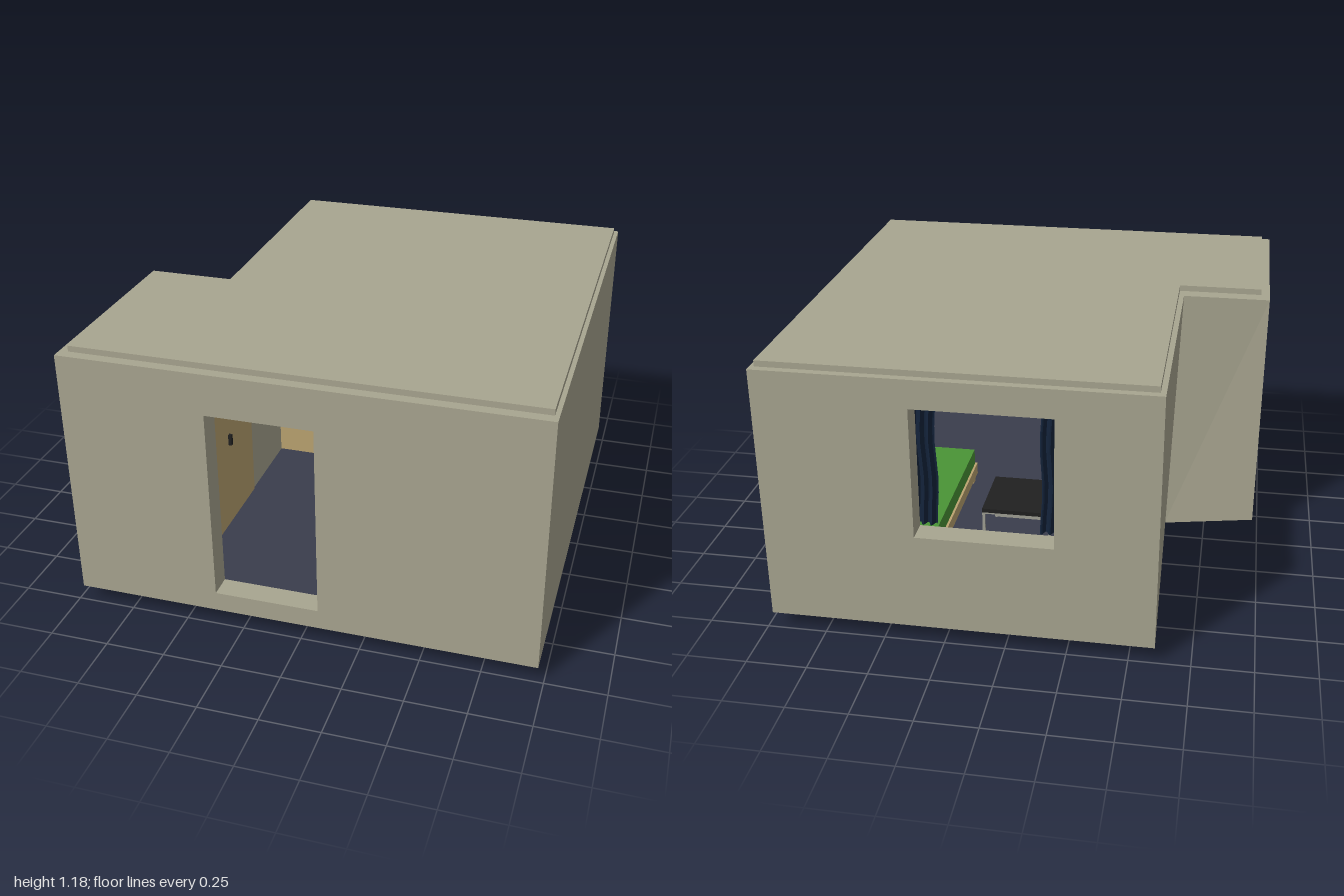
import * as THREE from 'three';

const mat = (color) => new THREE.MeshStandardMaterial({ color, flatShading: true, side: THREE.DoubleSide });
const WALL = mat(0xa8a590), FLOOR = mat(0x3a3d4c), WOOD = mat(0xbba370), NAVY = mat(0x14243c);
const GREEN = mat(0x4a9436), DARK = mat(0x505050), BLACK = mat(0x202020), METAL = mat(0xa0a096), RED = mat(0xa02020);

export function createModel() {
  const root = new THREE.Group();
  root.name = 'room';

  const add = (name, geometry, material, parent = root) => {
    const mesh = new THREE.Mesh(geometry, material);
    mesh.name = name;
    parent.add(mesh);
    return mesh;
  };
  // Box from its lower and upper limits
  const box = (name, x0, x1, y0, y1, z0, z1, material, parent) =>
    add(name, new THREE.BoxGeometry(x1 - x0, y1 - y0, z1 - z0)
      .translate((x0 + x1) / 2, (y0 + y1) / 2, (z0 + z1) / 2), material, parent);
  const group = (name) => {
    const g = new THREE.Group();
    g.name = name;
    root.add(g);
    return g;
  };

  // Wall facing front or back, with one rectangular opening
  const wallWithOpening = (name, x0, x1, z0, [a, b, c, d]) => {
    const rect = (T, l, r, lo, hi) => new T().moveTo(l, lo).lineTo(r, lo).lineTo(r, hi).lineTo(l, hi).closePath();
    const shape = rect(THREE.Shape, x0, x1, 0.07, 1.16);
    shape.holes.push(rect(THREE.Path, a, b, c, d));
    const g = new THREE.ExtrudeGeometry(shape, { depth: 0.1, bevelEnabled: false });
    add(name, g.translate(0, 0, z0), WALL);
  };
  wallWithOpening('frontWall', -0.975, 0.975, 0.9, [-0.365, 0.075, 0.155, 0.985]);
  wallWithOpening('backWall', -0.505, 0.975, -1, [-0.2, 0.356, 0.485, 1.04]);

  // Plain walls; the lower notch corner sags inward and down
  const corner = new THREE.Vector3(-0.605, 0.07, 0.09);
  const sag = new THREE.Vector3(-0.565, 0, 0.12);
  for (const [name, ...limits] of [
    ['leftWall', 0.875, 0.975, 0.07, 1.16, -0.9, 0.9],
    ['rightWall', -0.975, -0.875, 0.07, 1.16, 0.19, 0.9],
    ['notchSideWall', -0.605, -0.505, 0.07, 1.16, -1, 0.09],
    ['notchBackWall', -0.975, -0.605, 0.07, 1.16, 0.09, 0.19],
    ['notchCornerPost', -0.605, -0.505, 0.07, 1.16, 0.09, 0.19],
  ]) {
    const p = box(name, ...limits, WALL).geometry.attributes.position;
    const v = new THREE.Vector3();
    for (let i = 0; i < p.count; i++)
      if (v.fromBufferAttribute(p, i).distanceTo(corner) < 0.001) p.setXYZ(i, sag.x, sag.y, sag.z);
  }

  // Sagging part of the underside
  const sagPoints = [[-0.975, 0.07, 0.09], [-0.23, 0.07, 0.88], [-0.605, 0.07, -1]];
  const sagGeometry = new THREE.BufferGeometry();
  sagGeometry.setAttribute('position', new THREE.Float32BufferAttribute(
    [sag.toArray(), sagPoints[1], sagPoints[0], sag.toArray(), sagPoints[2], sagPoints[1]].flat(), 3));
  sagGeometry.computeVertexNormals();
  add('undersideSag', sagGeometry, WALL);

  // L-shaped slabs: outline limits, then height range
  const slab = (name, x0, x1, z0, z1, nx, nz, y0, y1, material) => {
    const points = [[x0, -z1], [x1, -z1], [x1, -z0], [nx, -z0], [nx, -nz], [x0, -nz]];
    const shape = new THREE.Shape(points.map(([x, y]) => new THREE.Vector2(x, y)));
    const g = new THREE.ExtrudeGeometry(shape, { depth: y1 - y0, bevelEnabled: false });
    add(name, g.rotateX(-Math.PI / 2).translate(0, y0, 0), material);
  };
  slab('floorSlab', -0.875, 0.875, -0.9, 0.9, -0.505, 0.19, 0.07, 0.148, WALL);
  slab('floorCovering', -0.875, 0.875, -0.9, 0.9, -0.505, 0.19, 0.148, 0.154, FLOOR);
  slab('roof', -0.938, 0.957, -0.968, 0.955, -0.583, 0.155, 1.155, 1.185, WALL);

  // Closet in the alcove
  box('closetDoor', -0.52, -0.5, 0.155, 1.15, 0.19, 0.9, WOOD);
  box('closetHandle', -0.5, -0.485, 0.54, 0.59, 0.45, 0.465, BLACK);

  // Dresser with knobs, and the box on top
  const dresser = group('dresser');
  box('dresserBody', -0.505, -0.21, 0.155, 0.42, -0.85, -0.2, WOOD, dresser);
  for (const z of [-0.7, -0.36])
    for (const y of [0.21, 0.285, 0.36])
      box('dresserKnob', -0.21, -0.198, y - 0.006, y + 0.006, z - 0.03, z + 0.03, BLACK, dresser);
  box('applianceFoot', -0.47, -0.28, 0.42, 0.43, -0.66, -0.4, BLACK, dresser);
  box('appliance', -0.495, -0.245, 0.43, 0.64, -0.7, -0.36, DARK, dresser);

  // Wall shelf
  const shelf = group('wallShelf');
  for (const y of [0.69, 0.83, 0.97]) box('shelfBoard', -0.505, -0.36, y, y + 0.015, -0.4, 0.15, WOOD, shelf);
  for (const z of [-0.4, 0.135]) box('shelfSide', -0.505, -0.36, 0.69, 0.985, z, z + 0.015, WOOD, shelf);
  box('shelfBook', -0.49, -0.39, 0.845, 0.93, -0.3, -0.24, RED, shelf);

  // Bed
  const bed = group('bed');
  box('bedFrame', 0.345, 0.875, 0.19, 0.245, -0.9, 0.125, WOOD, bed);
  box('mattress', 0.355, 0.87, 0.245, 0.32, -0.89, 0.114, GREEN, bed);
  for (const x of [0.355, 0.83]) for (const z of [-0.88, 0.08])
    box('bedLeg', x, x + 0.035, 0.154, 0.19, z, z + 0.035, WOOD, bed);

  // Low table with a thin metal frame
  const table = group('lowTable');
  box('tableTop', -0.105, 0.19, 0.335, 0.353, -0.5, -0.2, BLACK, table);
  for (const z of [-0.49, -0.22]) {
    for (const x of [-0.108, 0.18]) box('tableLeg', x, x + 0.012, 0.155, 0.335, z, z + 0.012, METAL, table);
    for (const y of [0.157, 0.323]) box('tableRail', -0.108, 0.192, y, y + 0.012, z, z + 0.012, METAL, table);
  }

  // Rippled curtains either side of the window
  for (const x of [-0.195, 0.35]) {
    const g = new THREE.PlaneGeometry(0.13, 0.58, 24, 8);
    const p = g.attributes.position;
    for (let i = 0; i < p.count; i++) {
      p.setZ(i, 0.014 * Math.sin(p.getX(i) * 190));
      p.setX(i, p.getX(i) + 0.005 * Math.sin(p.getY(i) * 16));
    }
    g.computeVertexNormals();
    add('curtain', g.translate(x, 0.77, -0.875), NAVY);
  }
  return root;
}
